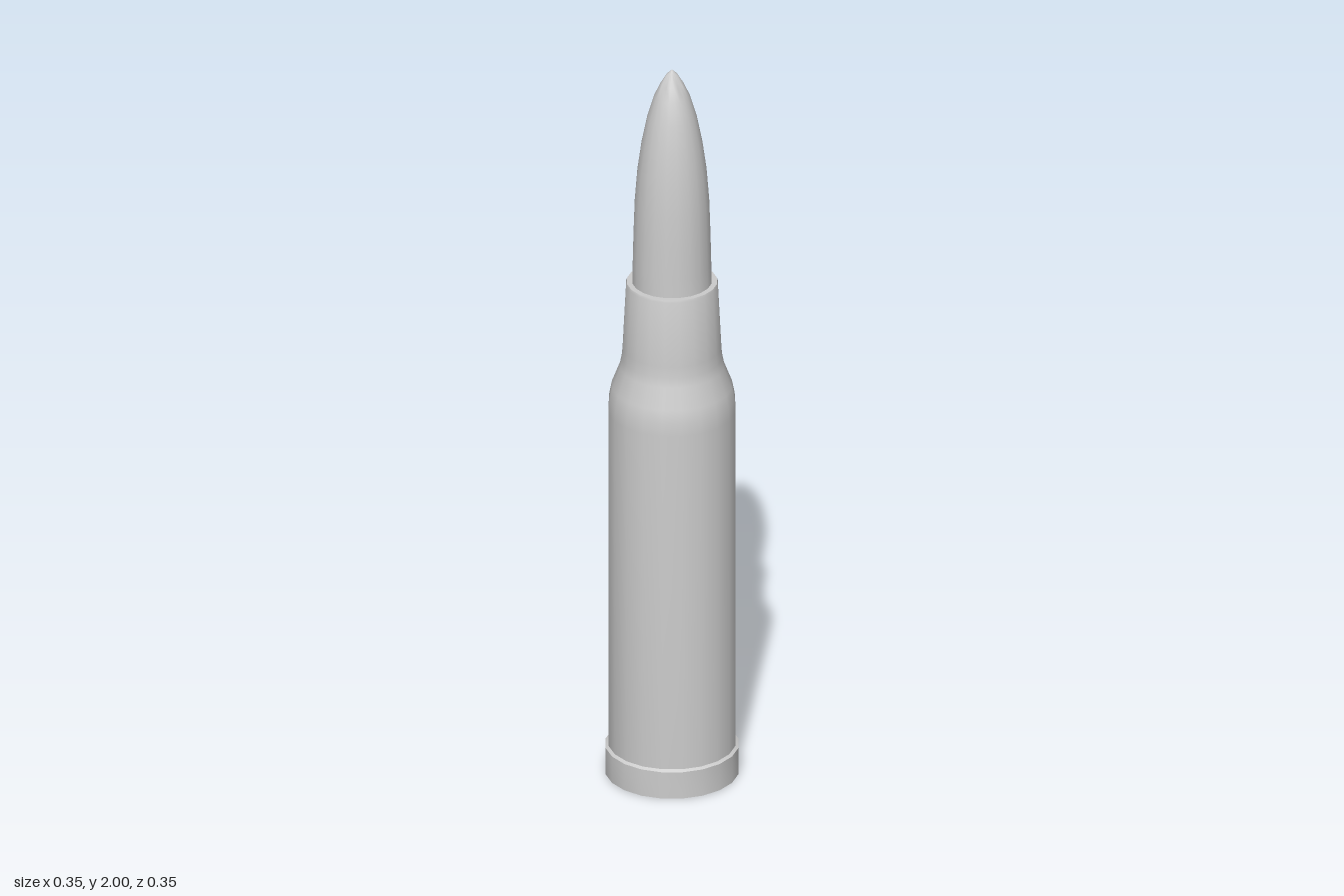
import * as THREE from 'three';
import { toCreasedNormals } from 'three/addons/utils/BufferGeometryUtils.js';

const SIDES = 20;

// Turned part from [radius, height] pairs, listed bottom to top
function turned(name, profile) {
  const points = profile.map(([r, y]) => new THREE.Vector2(r, y));
  const geometry = toCreasedNormals(new THREE.LatheGeometry(points, SIDES), THREE.MathUtils.degToRad(35));
  const mesh = new THREE.Mesh(geometry, new THREE.MeshStandardMaterial({ color: 0xcccccc }));
  mesh.name = name;
  return mesh;
}

export function createModel() {
  const group = new THREE.Group();
  group.name = 'cartridge';

  // Base rim, straight body, sloping shoulder and tapered neck with an open lip
  group.add(turned('case', [
    [0, 0], [0.173, 0], [0.173, 0.075], [0.165, 0.08],
    [0.165, 1.03], [0.163, 1.065], [0.156, 1.1],
    [0.135, 1.155], [0.13, 1.18], [0.128, 1.21],
    [0.119, 1.39], [0.117, 1.396], [0.1, 1.396],
  ]));

  // Pointed tip seated in the neck
  group.add(turned('projectile', [
    [0.103, 1.38], [0.102, 1.45], [0.1, 1.53], [0.097, 1.62], [0.09, 1.71],
    [0.079, 1.79], [0.064, 1.865], [0.046, 1.925], [0.03, 1.96], [0.014, 1.987], [0, 2],
  ]));

  return group;
}
